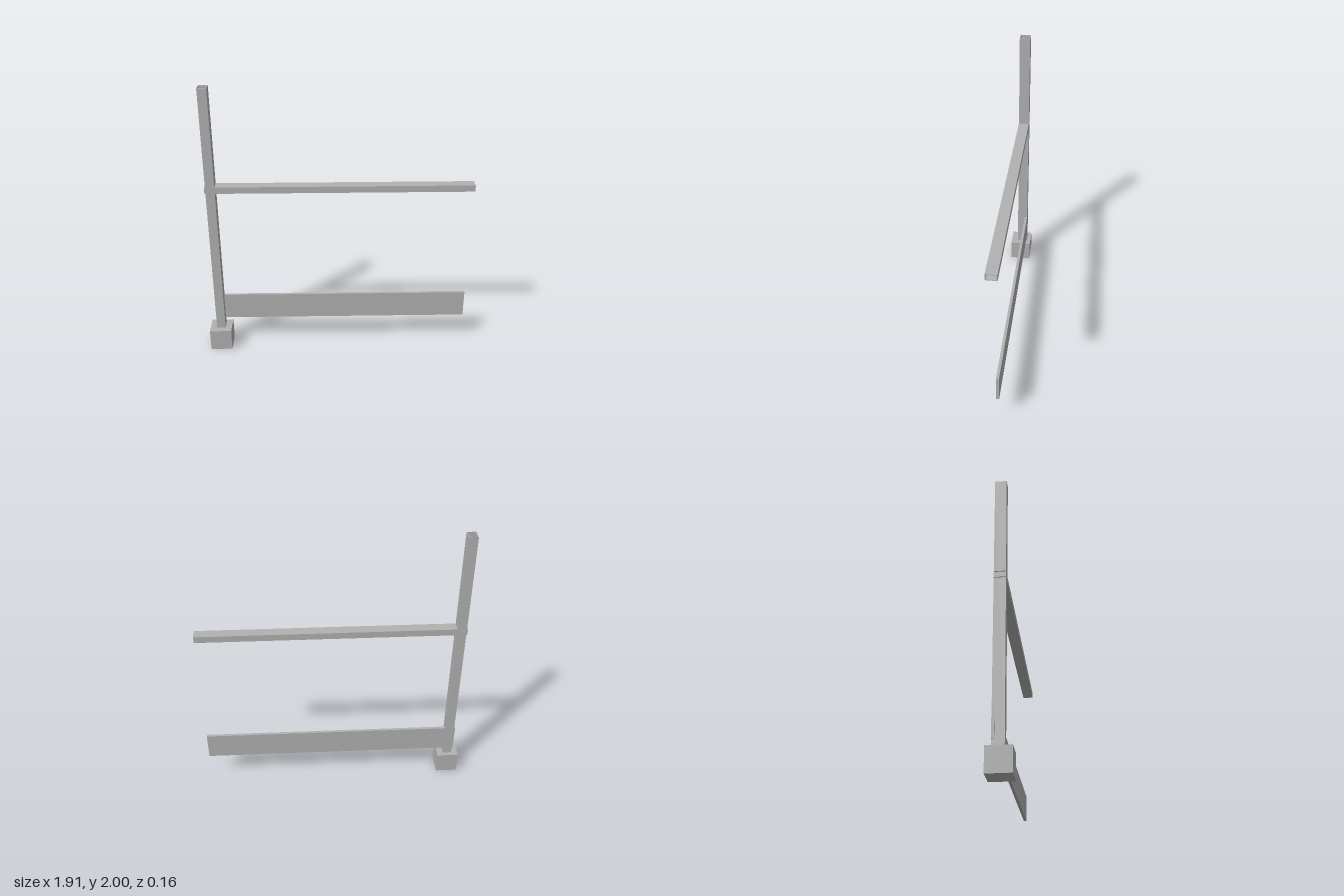
import * as THREE from 'three';

const steel = new THREE.MeshStandardMaterial({ color: 0xb2b2b2 });
steel.name = 'grey';

const WALL = 0.005;
const POST_X = -0.875, MID_Z = -0.01, DEPTH = 0.076;
const BACK_Z = MID_Z - DEPTH / 2;

export function createModel() {
  const group = new THREE.Group();

  const add = (name, geometry) => {
    const mesh = new THREE.Mesh(geometry, steel);
    mesh.name = name;
    group.add(mesh);
    return mesh;
  };

  // Box given by its limits on each axis
  const box = (name, [x0, x1], [y0, y1], [z0, z1]) =>
    add(name, new THREE.BoxGeometry(x1 - x0, y1 - y0, z1 - z0))
      .position.set((x0 + x1) / 2, (y0 + y1) / 2, (z0 + z1) / 2);

  // Open rectangular tube, extruded along +z from the origin
  const tube = (w, h, length) => {
    const corners = (a, b) => [[-a, -b], [a, -b], [a, b], [-a, b]].map(([x, y]) => new THREE.Vector2(x, y));
    const shape = new THREE.Shape(corners(w / 2, h / 2));
    shape.holes.push(new THREE.Path(corners(w / 2 - WALL, h / 2 - WALL).reverse()));
    return new THREE.ExtrudeGeometry(shape, { depth: length, bevelEnabled: false });
  };

  // Footing block
  box('footing', [-0.954, -0.796], [0, 0.16], [-0.079, 0.079]);

  // Upright hollow post
  add('post', tube(0.064, DEPTH, 1.85).rotateX(-Math.PI / 2)).position.set(POST_X, 0.15, MID_Z);

  // Hollow middle rail running through the post
  add('midRail', tube(DEPTH, 0.047, 1.866).rotateY(Math.PI / 2)).position.set(-0.914, 1.283, MID_Z);

  // Toe board along the back of the post
  box('toeBoard', [-0.914, 0.952], [0.213, 0.411], [BACK_Z, BACK_Z + 0.02]);

  // Small square fixings on the back
  const fixing = (name, y, z, s) =>
    box(name, [POST_X - s, POST_X + s], [y - s, y + s], [z - 0.002, z + 0.002]);
  fixing('railFixing', 1.283, BACK_Z, 0.017);
  for (const y of [0.037, 0.125]) fixing('footingFixing', y, -0.079, 0.02);

  return group;
}
